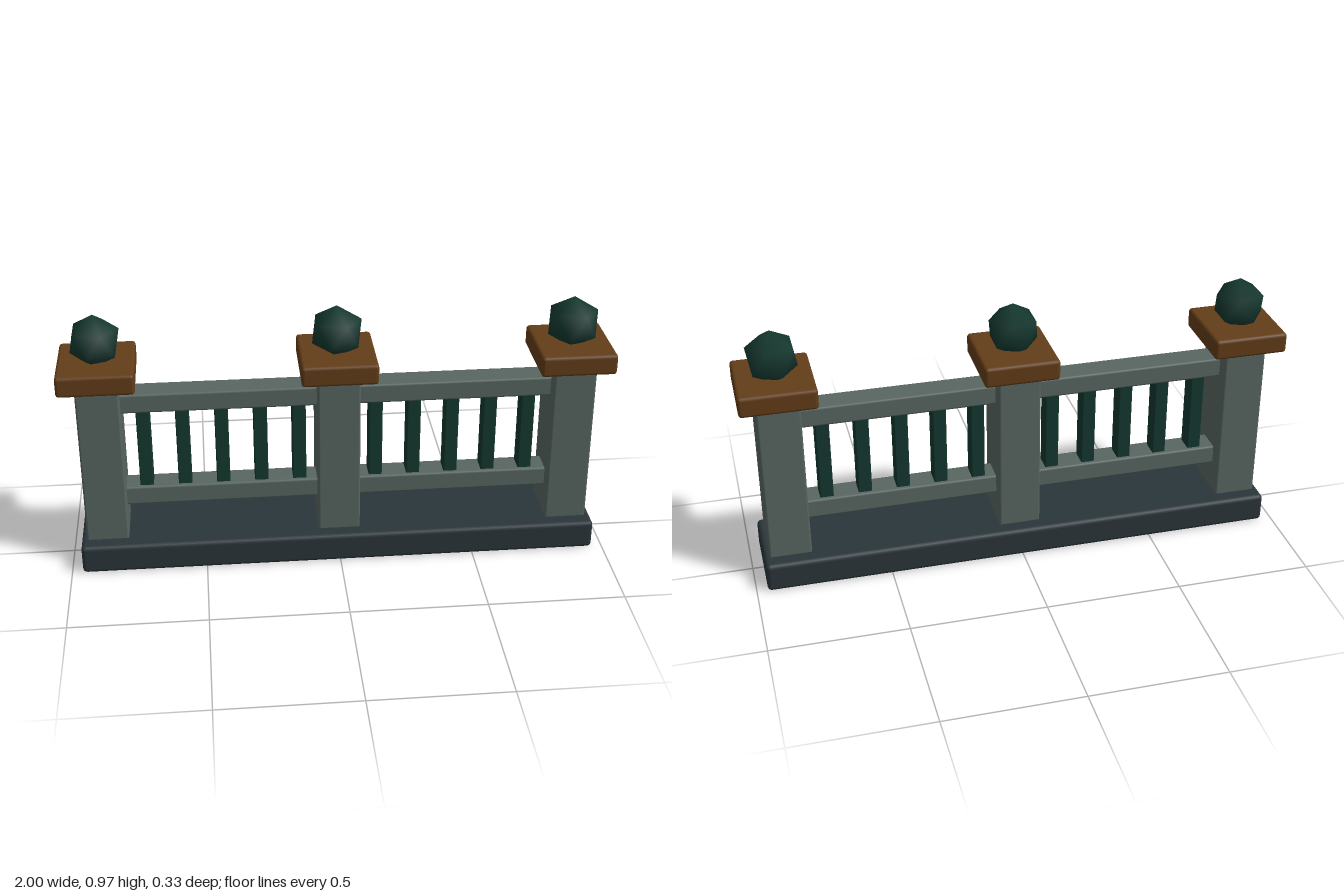
import * as THREE from 'three';
import { RoundedBoxGeometry } from 'three/addons/geometries/RoundedBoxGeometry.js';
import { mergeVertices } from 'three/addons/utils/BufferGeometryUtils.js';

const paint = (color) => new THREE.MeshStandardMaterial({ color });

export function createModel() {
  const model = new THREE.Group();
  const slate = paint(0x2a353a);
  const stone = paint(0x586662);
  const wood = paint(0x633d18);
  const green = paint(0x14382f);

  const add = (name, geometry, material, x, y, z = 0) => {
    const mesh = new THREE.Mesh(geometry, material);
    mesh.name = name;
    mesh.position.set(x, y, z);
    model.add(mesh);
  };
  // Bevelled block spanning y0..y1
  const block = (name, material, x, y0, y1, width, depth, bevel) =>
    add(name, new RoundedBoxGeometry(width, y1 - y0, depth, 2, bevel), material, x, (y0 + y1) / 2);

  // Finial: smooth-shaded icosahedron standing on one vertex
  const ico = new THREE.IcosahedronGeometry(0.1, 0);
  ico.deleteAttribute('normal');
  ico.deleteAttribute('uv');
  const finial = mergeVertices(ico);
  finial.rotateZ(-Math.atan(2 / (1 + Math.sqrt(5))));
  finial.computeVertexNormals();

  block('base', slate, 0, 0, 0.11, 1.92, 0.326, 0.016);

  // Posts with caps and finials
  for (const x of [-0.862, 0, 0.862]) {
    block('post', stone, x, 0.1, 0.735, 0.155, 0.21, 0.008);
    block('postCap', wood, x, 0.723, 0.8, 0.276, 0.3, 0.012);
    add('finial', finial, green, x, 0.872);
  }

  // Two railing bays
  for (const side of [-1, 1]) {
    const x = side * 0.431;
    block('lowerRail', stone, x, 0.22, 0.293, 0.74, 0.1, 0.008);
    block('upperRail', stone, x, 0.6, 0.674, 0.74, 0.1, 0.008);
    for (let i = 1; i <= 5; i++) {
      block('baluster', green, side * i * 0.1417, 0.28, 0.612, 0.05, 0.07, 0.004);
    }
  }
  return model;
}
